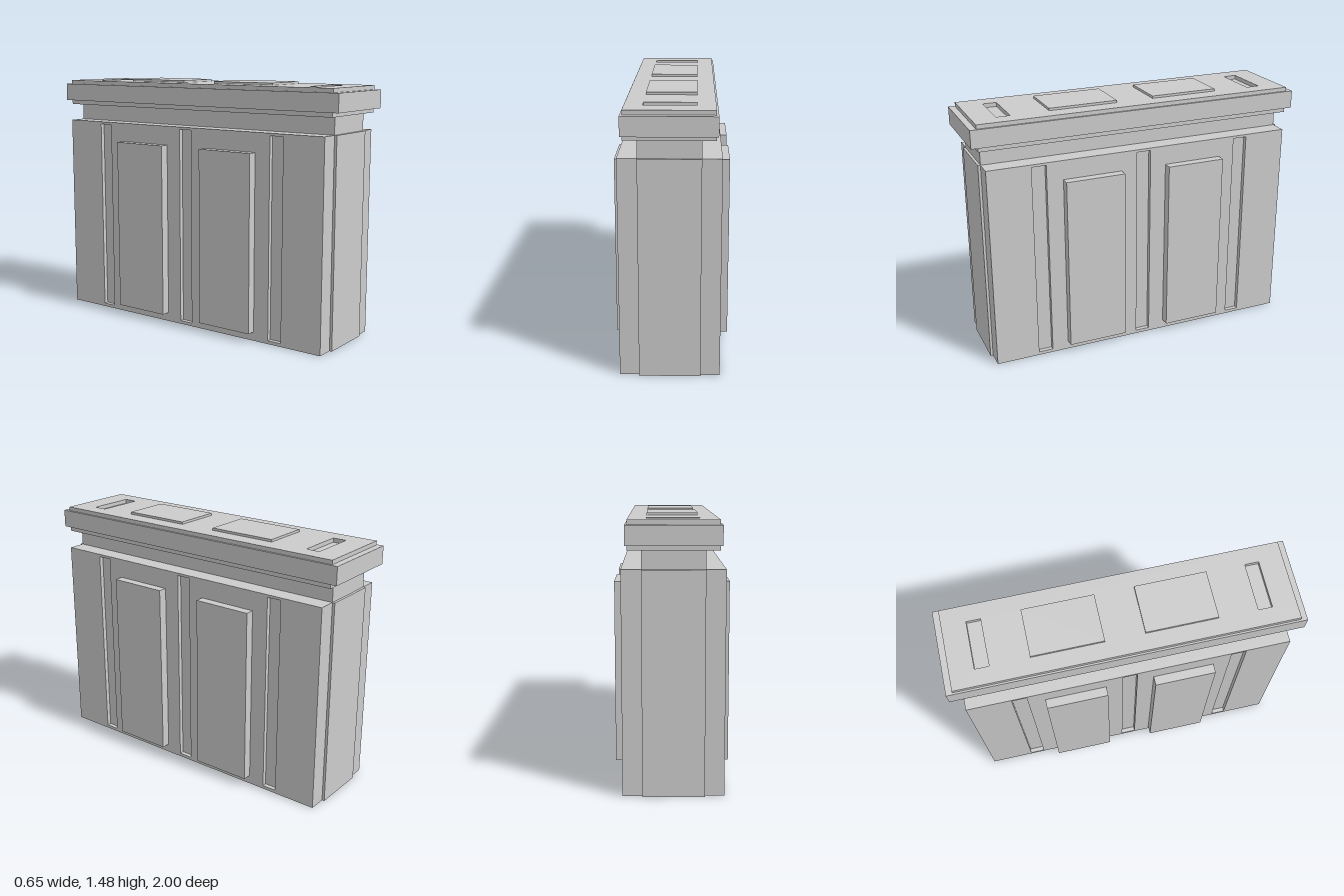
import * as THREE from 'three';

const material = new THREE.MeshStandardMaterial({ color: 0xcccccc, flatShading: true });

// Rectangular plate of w x h with rectangular holes [cx, cy, w, h], extruded along +z
function plate(w, h, depth, holes) {
  const corners = (cx, cy, a, b) => [[-1, -1], [1, -1], [1, 1], [-1, 1]]
    .map(([i, j]) => new THREE.Vector2(cx + i * a / 2, cy + j * b / 2));
  const shape = new THREE.Shape(corners(0, 0, w, h));
  for (const hole of holes) shape.holes.push(new THREE.Path(corners(...hole).reverse()));
  return new THREE.ExtrudeGeometry(shape, { depth, bevelEnabled: false });
}

export function createModel() {
  const group = new THREE.Group();
  const add = (name, geometry) => {
    const mesh = new THREE.Mesh(geometry, material);
    mesh.name = name;
    group.add(mesh);
    return mesh;
  };
  // Box given by full width, full length and its bottom and top heights
  const block = (name, w, l, y0, y1, x = 0, z = 0) =>
    add(name, new THREE.BoxGeometry(w, y1 - y0, l)).position.set(x, (y0 + y1) / 2, z);

  // Body core, whose sides form the groove floors
  const bodyH = 1.21, halfW = 0.271, grooveDepth = 0.026, bodyL = 1.87;
  block('bodyCore', 2 * (halfW - grooveDepth), bodyL, 0, bodyH);
  block('neck', 0.332, bodyL, bodyH, 1.31);

  // Raised panels on both ends
  for (const s of [-1, 1]) block('endPanel', 0.332, 0.015, 0, bodyH, 0, s * (bodyL / 2 + 0.0075));

  // Long sides: grooved plates with two raised panels each
  const grooves = [-0.635, 0, 0.635].map(z => [z, 0.0025, 0.086, 1.175]);
  for (const s of [-1, 1]) {
    const side = add('groovedSide', plate(bodyL, bodyH, grooveDepth, grooves));
    side.rotation.y = s * Math.PI / 2;
    side.position.set(s * (halfW - grooveDepth), bodyH / 2, 0);
    for (const z of [-0.317, 0.317])
      block('sidePanel', 0.053, 0.355, 0.053, 1.096, s * (halfW + 0.0265), z);
  }

  // Stepped cap; the top layer has a slot near each end
  block('capLowerLip', 0.476, 1.92, 1.31, 1.335);
  block('capSlab', 0.496, 2, 1.335, 1.44);
  const slots = [-0.785, 0.785].map(y => [0, y, 0.28, 0.08]);
  const top = add('capTop', plate(0.474, 1.925, 0.024, slots));
  top.rotation.x = -Math.PI / 2;
  top.position.y = 1.44;

  // Raised pads on the cap
  for (const z of [-0.317, 0.317]) block('capPad', 0.28, 0.41, 1.464, 1.478, 0, z);

  return group;
}
